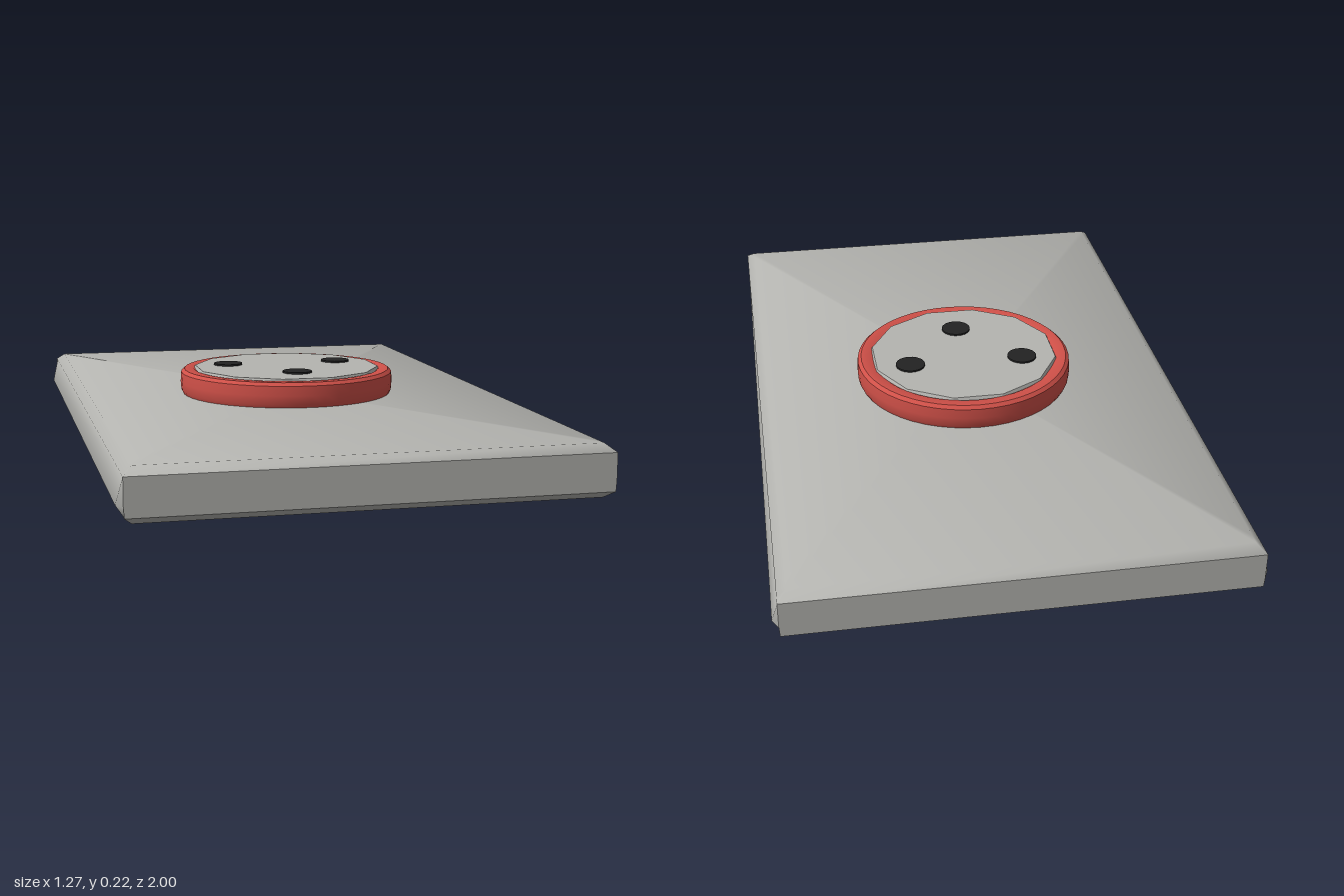
import * as THREE from 'three';
import { toCreasedNormals } from 'three/addons/utils/BufferGeometryUtils.js';

const material = (name, color) => {
  const m = new THREE.MeshStandardMaterial({ color });
  m.name = name;
  return m;
};

// Slab lofted from eight-point outlines stacked upwards, closed at both ends
function slabGeometry() {
  // [y, half width, half depth, extra bulge of the long sides]
  const levels = [
    [0, 0.595, 0.97, 0],
    [0.02, 0.615, 1, 0],
    [0.047, 0.617, 1, 0.016],
    [0.12, 0.617, 1, 0],
    [0.14, 0.593, 0.97, 0],
  ];
  const positions = [], index = [], n = 8;
  for (const [y, w, d, bulge] of levels) {
    const s = d - 0.03, b = w + bulge;
    const ring = [[w, d], [w, s], [b, -s], [w, -d], [-w, -d], [-b, -s], [-b, s], [-w, d]];
    for (const [x, z] of ring) positions.push(x, y, z);
  }
  for (let l = 0; l < levels.length - 1; l++) {
    for (let i = 0; i < n; i++) {
      const a = l * n + i, b = l * n + (i + 1) % n;
      index.push(a, b, b + n, a, b + n, a + n);
    }
  }
  const top = (levels.length - 1) * n;
  // Caps fan out from the middle so that points in line stay covered
  const low = positions.length / 3, high = low + 1;
  positions.push(0, 0, 0, 0, 0.14, 0);
  for (let i = 0; i < n; i++) {
    const j = (i + 1) % n;
    index.push(low, j, i, high, top + i, top + j);
  }
  const g = new THREE.BufferGeometry();
  g.setAttribute('position', new THREE.Float32BufferAttribute(positions, 3));
  g.setIndex(index);
  return toCreasedNormals(g, 0.9);
}

export function createModel() {
  const group = new THREE.Group();
  const grey = material('light grey', 0xb4b4b0);
  const red = material('red', 0xcf5048);
  const black = material('black', 0x222222);

  const add = (name, geometry, mat, x = 0, y = 0, z = 0) => {
    const mesh = new THREE.Mesh(geometry, mat);
    mesh.name = name;
    mesh.position.set(x, y, z);
    group.add(mesh);
    return mesh;
  };

  add('basePlate', slabGeometry(), grey);

  // Raised round collar with softened edges
  const profile = [
    [0, 0.138], [0.312, 0.138], [0.318, 0.15], [0.32, 0.175],
    [0.318, 0.203], [0.308, 0.212], [0.28, 0.212], [0.27, 0.206], [0, 0.206],
  ].map(([r, y]) => new THREE.Vector2(r, y));
  add('collar', toCreasedNormals(new THREE.LatheGeometry(profile, 48), 0.7), red);

  // Twelve-sided face plate inside the collar
  const face = new THREE.CylinderGeometry(0.277, 0.284, 0.014, 12);
  face.rotateY(Math.PI / 12);
  add('facePlate', toCreasedNormals(face, 0.4), grey, 0, 0.21, 0);

  // Three contact spots
  for (const [x, z] of [[-0.168, -0.058], [0.168, -0.058], [0, 0.145]]) {
    add('contactSpot', new THREE.CylinderGeometry(0.043, 0.043, 0.006, 24), black, x, 0.219, z);
  }
  return group;
}
